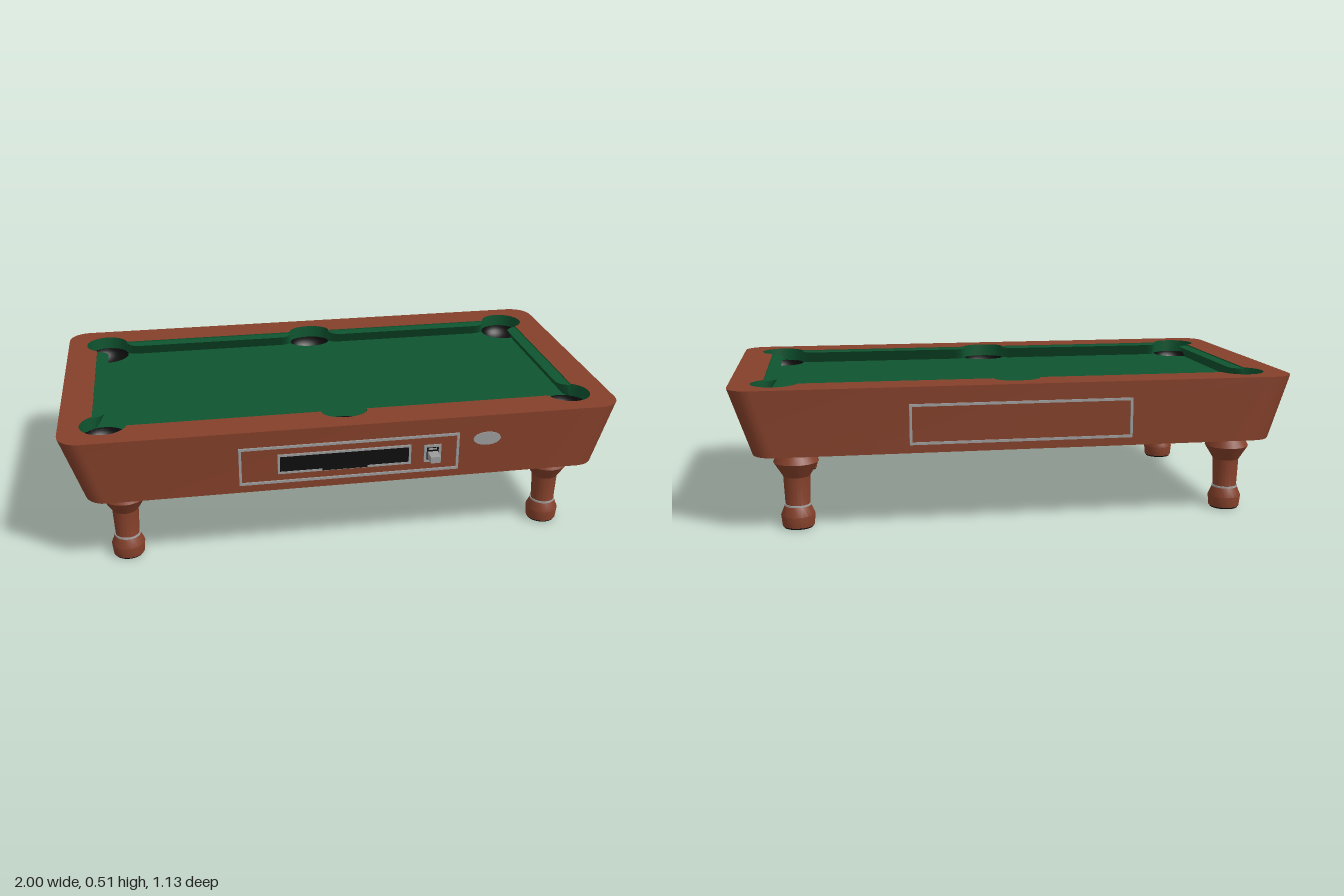
import * as THREE from 'three';
import { toCreasedNormals } from 'three/addons/utils/BufferGeometryUtils.js';

const material = (name, color, side = THREE.FrontSide) => {
  const m = new THREE.MeshStandardMaterial({ color, side });
  m.name = name;
  return m;
};

const TOP = 0.51, BASE = 0.28, BED = 0.462;     // heights
const HX = 1, HZ = 0.5375, TAPER = 0.923;       // cabinet half sizes, taper of the ends
const OX = 0.885, OZ = 0.408;                   // half sizes of the rail opening
const CX = 0.845, CZ = 0.39, R = 0.082;         // corner pockets
const SZ = 0.413, SR = 0.055;                   // middle pockets

const arc = (cx, cy, rx, ry, a0, a1, n) => Array.from({ length: n + 1 }, (_, i) => {
  const a = a0 + (a1 - a0) * i / n;
  return new THREE.Vector2(cx + rx * Math.cos(a), cy + ry * Math.sin(a));
});

// Rounded rectangle outline, counter-clockwise
function roundedOutline(hx, hy, r) {
  return [[1, 1], [-1, 1], [-1, -1], [1, -1]].flatMap(([sx, sy], k) =>
    arc(sx * (hx - r), sy * (hy - r), r, r, k * Math.PI / 2, (k + 1) * Math.PI / 2, 6));
}

// Rail opening: rectangle joined with the six pockets
function openingOutline() {
  const corner = arc(CX, CZ, R, R, -Math.acos((OX - CX) / R), Math.PI - Math.asin((OZ - CZ) / R), 20);
  const t = Math.asin((SZ - OZ) / SR);
  const middle = arc(0, SZ, R, SR, -t, Math.PI + t, 18);
  const mirrored = corner.map(p => new THREE.Vector2(-p.x, p.y)).reverse();
  const half = [...corner, ...middle, ...mirrored];
  return [...half, ...half.map(p => new THREE.Vector2(-p.x, -p.y))];
}

// Wall between two matching closed outlines at two heights
function wall(low, yLow, high, yHigh) {
  const pos = [], index = [], n = low.length;
  low.forEach((p, i) => {
    const q = high[i], a = 2 * i, b = 2 * ((i + 1) % n);
    pos.push(p.x, yLow, -p.y, q.x, yHigh, -q.y);
    index.push(a, b, b + 1, a, b + 1, a + 1);
  });
  const g = new THREE.BufferGeometry();
  g.setAttribute('position', new THREE.Float32BufferAttribute(pos, 3));
  g.setIndex(index);
  return toCreasedNormals(g, 0.6);
}

// Cushion with rounded ends and an undercut nose
function cushionGeometry(half, w) {
  const s = new THREE.Shape();
  s.moveTo(half, 0);
  s.lineTo(-half, 0);
  s.quadraticCurveTo(-half + 0.012, -w, -half + 0.05, -w);
  s.lineTo(half - 0.05, -w);
  s.quadraticCurveTo(half - 0.012, -w, half, 0);
  const g = new THREE.ExtrudeGeometry(s, { depth: 0.044, bevelEnabled: false, curveSegments: 8 });
  const p = g.attributes.position;
  for (let i = 0; i < p.count; i++) if (p.getZ(i) < 0.01) p.setY(i, p.getY(i) * 0.4);
  g.rotateX(-Math.PI / 2);
  return toCreasedNormals(g, 0.6);
}

// Thin rectangular trim frame
function frameGeometry(w, h, t) {
  const rect = (a, b) => [[-a, -b], [a, -b], [a, b], [-a, b]].map(([x, y]) => new THREE.Vector2(x, y));
  const s = new THREE.Shape(rect(w / 2, h / 2));
  s.holes.push(new THREE.Path(rect(w / 2 - t, h / 2 - t)));
  return new THREE.ExtrudeGeometry(s, { depth: 0.005, bevelEnabled: false });
}

export function createModel() {
  const wood = material('wood', 0x84402a);
  const felt = material('green felt', 0x0f5430);
  const black = material('black', 0x0e0e0e, THREE.DoubleSide);
  const grey = material('grey metal', 0x9c9c9c);

  const model = new THREE.Group();
  model.name = 'poolTable';
  const table = new THREE.Group();
  table.name = 'table';
  table.position.z = -0.0225;
  model.add(table);
  const add = (name, geometry, mat, x = 0, y = 0, z = 0, parent = table) => {
    const mesh = new THREE.Mesh(geometry, mat);
    mesh.name = name;
    mesh.position.set(x, y, z);
    parent.add(mesh);
    return mesh;
  };

  // Cabinet: tapered sides, top rail, underside
  const outline = roundedOutline(HX, HZ, 0.08);
  const lower = outline.map(p => new THREE.Vector2(p.x * TAPER, p.y));
  const opening = openingOutline();
  add('cabinetSides', wall(lower, BASE, outline, TOP), wood);
  const rail = new THREE.Shape(outline);
  rail.holes.push(new THREE.Path(opening));
  add('topRail', new THREE.ShapeGeometry(rail).rotateX(-Math.PI / 2), wood, 0, TOP);
  add('underside', new THREE.ShapeGeometry(new THREE.Shape(lower)).rotateX(Math.PI / 2), wood, 0, BASE);

  // Felt lining of the opening and the playing bed
  const inner = opening.slice().reverse();
  add('railLining', wall(inner, BED - 0.01, inner, TOP), felt);
  const bed = new THREE.Shape(roundedOutline(0.95, 0.5, 0.05));
  const pockets = [];
  for (const sz of [1, -1]) for (const sx of [-1, 0, 1])
    pockets.push({ x: sx * CX, z: sz * (sx ? CZ : SZ), rz: sx ? R : SR });
  for (const p of pockets)
    bed.holes.push(new THREE.Path(arc(p.x, -p.z, R, p.rz, 0, Math.PI * 2, 32).slice(0, -1)));
  add('playingBed', new THREE.ShapeGeometry(bed).rotateX(-Math.PI / 2), felt, 0, BED);

  // Pocket bowls
  const bowl = new THREE.SphereGeometry(R, 32, 8, 0, Math.PI * 2, Math.PI / 2, Math.PI / 2);
  for (const p of pockets)
    add('pocket', bowl, black, p.x, BED, p.z).scale.set(1, 0.7, p.rz / R);

  // Cushions
  const longCushion = cushionGeometry(0.343, 0.048), endCushion = cushionGeometry(0.322, 0.046);
  for (const s of [1, -1]) {
    for (const x of [-0.423, 0.423])
      add('longCushion', longCushion, felt, x, BED, s * OZ).rotation.y = s > 0 ? Math.PI : 0;
    add('endCushion', endCushion, felt, s * OX, BED, 0).rotation.y = -s * Math.PI / 2;
  }

  // Turned legs with metal rings and black pads
  const profile = [[0.056, 0.006], [0.06, 0.045], [0.046, 0.078], [0.043, 0.084], [0.047, 0.185],
    [0.079, 0.237], [0.058, 0.281]].map(([r, y]) => new THREE.Vector2(r, y));
  const legGeo = toCreasedNormals(new THREE.LatheGeometry(profile, 20), 0.5);
  const ringGeo = new THREE.CylinderGeometry(0.0465, 0.0475, 0.006, 20);
  const padGeo = new THREE.CylinderGeometry(0.054, 0.052, 0.007, 20);
  const soleGeo = new THREE.CylinderGeometry(0.056, 0.056, 0.002, 20);
  for (const x of [-0.795, 0.78]) for (const z of [-0.406, 0.406]) {
    const leg = new THREE.Group();
    leg.name = 'leg';
    leg.position.set(x, 0, z);
    table.add(leg);
    add('legPost', legGeo, wood, 0, 0, 0, leg);
    add('legSole', soleGeo, wood, 0, 0.0065, 0, leg);
    add('legRing', ringGeo, grey, 0, 0.081, 0, leg);
    add('legPad', padGeo, black, 0, 0.0035, 0, leg);
  }

  // Trim frames on the front and back
  const longFrame = frameGeometry(0.785, 0.142, 0.009);
  add('frontFrame', longFrame, grey, 0, 0.38, HZ);
  add('backFrame', longFrame, grey, 0, 0.38, -HZ).rotation.y = Math.PI;

  // Ball return window
  add('returnFrame', frameGeometry(0.475, 0.074, 0.008), grey, -0.02, 0.381, HZ);
  add('returnWindow', new THREE.BoxGeometry(0.462, 0.06, 0.004), black, -0.02, 0.381, HZ + 0.001);
  add('returnLip', new THREE.BoxGeometry(0.16, 0.008, 0.006), black, -0.02, 0.35, HZ + 0.003);

  // Coin slide
  add('coinFrame', frameGeometry(0.062, 0.066, 0.009), grey, 0.296, 0.379, HZ);
  add('coinPlate', new THREE.BoxGeometry(0.046, 0.05, 0.004), black, 0.296, 0.379, HZ + 0.001);
  add('coinSlide', new THREE.BoxGeometry(0.036, 0.024, 0.048), grey, 0.296, 0.374, HZ + 0.025);
  add('coinSlot', new THREE.BoxGeometry(0.03, 0.006, 0.006), grey, 0.296, 0.396, HZ + 0.002);

  // Oval badge
  const badge = new THREE.CylinderGeometry(0.05, 0.05, 0.004, 32).rotateX(Math.PI / 2);
  add('badge', badge, grey, 0.495, 0.421, HZ + 0.002).scale.y = 0.5;

  // Trim frames on the sloping ends, with a plate on the right end
  const slope = Math.atan(HX * (1 - TAPER) / (TOP - BASE));
  const endFrame = frameGeometry(0.478, 0.144, 0.008);
  for (const s of [1, -1]) {
    const panel = new THREE.Group();
    panel.name = 'endPanel';
    panel.position.set(s * (TAPER + (1 - TAPER) * (0.38 - BASE) / (TOP - BASE)), 0.38, 0.004);
    panel.rotation.set(slope, s * Math.PI / 2, 0, 'YXZ');
    table.add(panel);
    add('endFrame', endFrame, grey, 0, 0, 0, panel);
    if (s < 0) add('endPlate', new THREE.BoxGeometry(0.17, 0.065, 0.006), grey, 0, 0.005, 0.001, panel);
  }
  return model;
}
